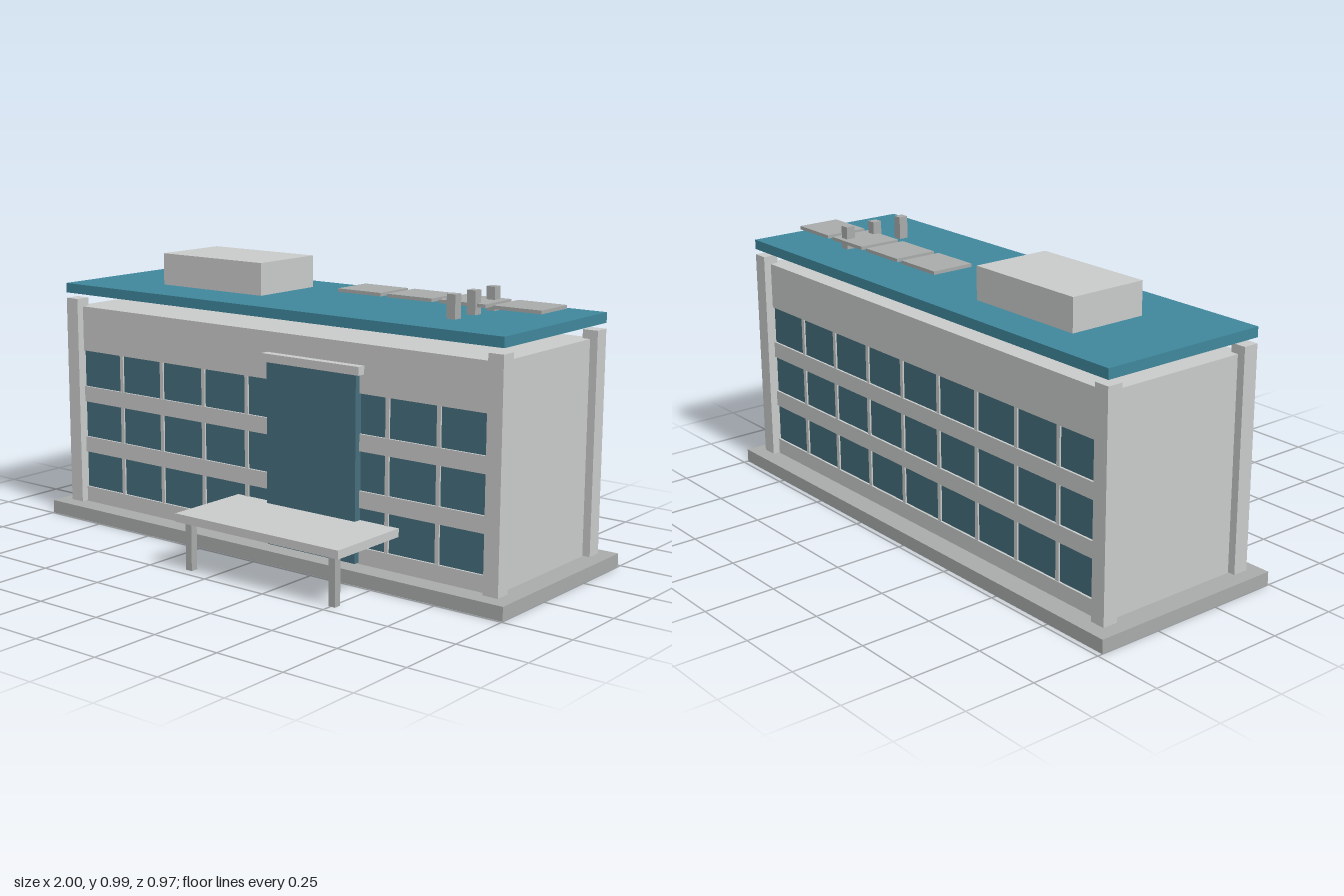
import * as THREE from 'three';

const material = (name, color) => {
  const m = new THREE.MeshStandardMaterial({ color });
  m.name = name;
  return m;
};

export function createModel() {
  const wall = material('lightGreyWall', 0xc8cac9);
  const grey = material('midGrey', 0xa8abaa);
  const teal = material('tealRoof', 0x3f869b);
  const glass = material('darkGlass', 0x456e7d);

  const model = new THREE.Group();
  model.name = 'officeBuilding';

  // Box given by its extents along each axis
  const box = (name, mat, [x0, x1], [y0, y1], [z0, z1]) => {
    const mesh = new THREE.Mesh(new THREE.BoxGeometry(x1 - x0, y1 - y0, z1 - z0), mat);
    mesh.position.set((x0 + x1) / 2, (y0 + y1) / 2, (z0 + z1) / 2);
    mesh.name = name;
    model.add(mesh);
    return mesh;
  };

  const midZ = -0.119, halfX = 0.922, halfZ = 0.286, recess = 0.012;

  // Plinth, wall core and roof slab
  box('plinth', grey, [-1, 1], [0, 0.048], [-0.482, 0.244]);
  box('wallCore', wall, [-halfX, halfX], [0.048, 0.79], [midZ - halfZ + recess, midZ + halfZ - recess]);
  box('roofSlab', teal, [-0.95, 0.95], [0.84, 0.875], [-0.432, 0.194]);

  // Corner pillars
  for (const sx of [-1, 1]) {
    for (const sz of [-1, 1]) {
      const x = sx * 0.922, z = midZ + sz * 0.285;
      box('cornerPillar', wall, [x - 0.028, x + 0.028], [0.05, 0.82], [z - 0.028, z + 0.028]);
    }
  }

  // Facades: horizontal bands, mullions and recessed glazing on front and back
  const rows = [[0.105, 0.24], [0.298, 0.432], [0.49, 0.625]];
  const bands = [[0.048, 0.105], [0.24, 0.298], [0.432, 0.49], [0.625, 0.79]];
  for (const side of [-1, 1]) {
    const zSpan = (inner, outer) =>
      [midZ + side * (halfZ - inner), midZ + side * (halfZ - outer)].sort((a, b) => a - b);
    for (const band of bands) {
      box('facadeBand', wall, [-halfX, halfX], band, zSpan(recess, 0));
    }
    for (const row of rows) {
      for (let i = 0; i < 9; i++) {
        const x = -0.8 + i * 0.2;
        box('windowPane', glass, [x - 0.1, x + 0.1], row, zSpan(recess, recess - 0.004));
        if (i > 0) box('mullion', wall, [x - 0.11, x - 0.095], row, zSpan(recess, 0.002));
      }
    }
  }

  // Glazed entrance bay with its cap
  box('entranceGlazing', glass, [0.01, 0.387], [0.052, 0.69], [0.15, 0.188]);
  box('entranceCap', wall, [-0.005, 0.405], [0.69, 0.719], [0.15, 0.198]);

  // Entrance canopy on two posts
  box('canopy', wall, [-0.145, 0.545], [0.168, 0.197], [0.16, 0.483]);
  for (const x of [-0.105, 0.505]) {
    box('canopyPost', grey, [x - 0.013, x + 0.013], [0, 0.168], [0.435, 0.462]);
  }

  // Rooftop plant room, panels and vents
  box('plantRoom', wall, [-0.64, -0.175], [0.875, 0.99], [-0.293, -0.003]);
  for (let i = 0; i < 4; i++) {
    const x = 0.08 + i * 0.21;
    box('roofPanel', grey, [x, x + 0.182], [0.9, 0.912], [-0.272, -0.113]);
  }
  for (const z of [-0.002, -0.119, -0.235]) {
    box('roofVent', grey, [0.618, 0.651], [0.875, 0.956], [z - 0.017, z + 0.017]);
  }

  return model;
}
